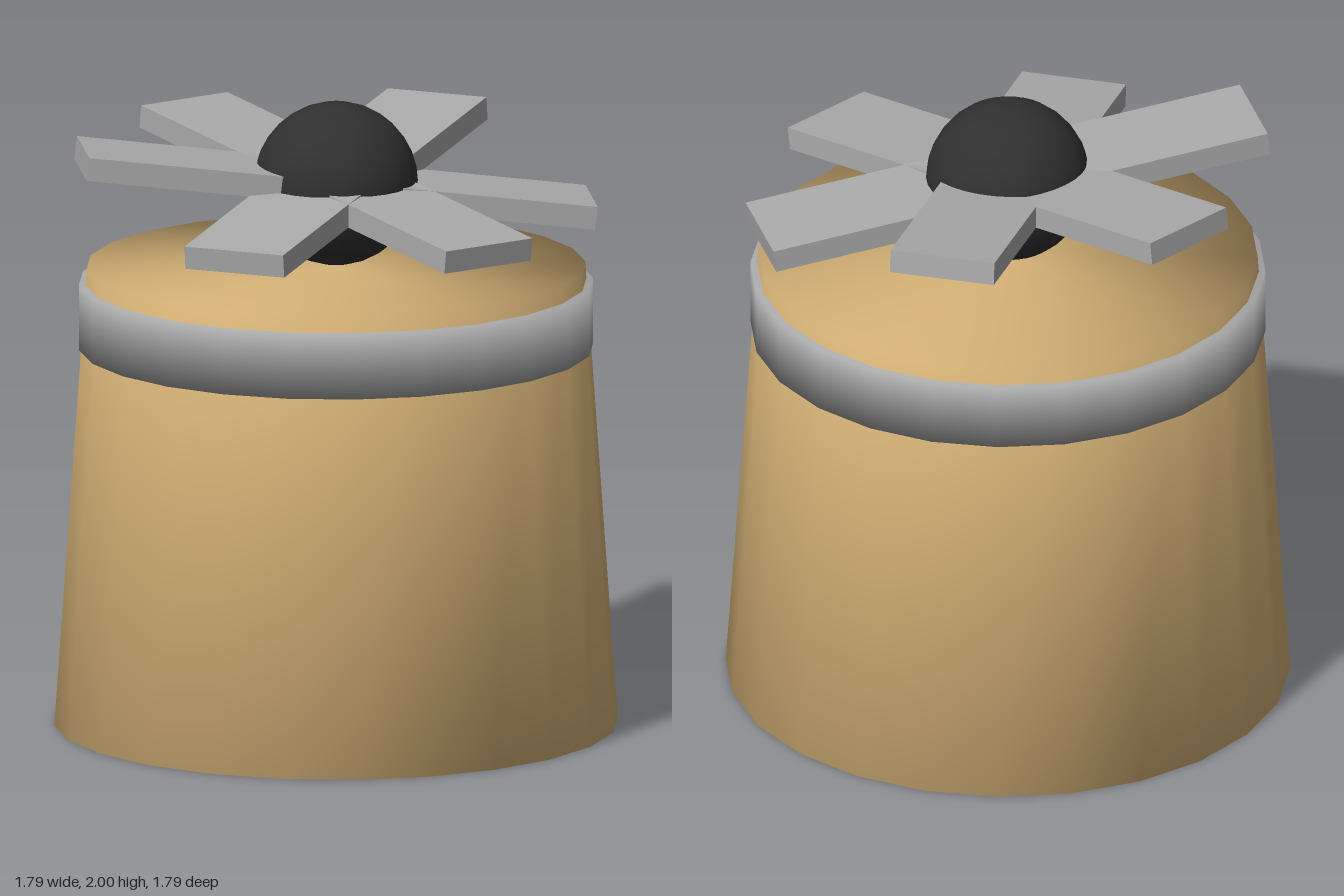
import * as THREE from 'three';
import { mergeVertices } from 'three/addons/utils/BufferGeometryUtils.js';

// Cylinder whose caps share smooth normals with its side
function softCylinder(rTop, rBottom, height) {
  const g = new THREE.CylinderGeometry(rTop, rBottom, height, 24);
  g.deleteAttribute('normal');
  g.deleteAttribute('uv');
  const merged = mergeVertices(g);
  merged.computeVertexNormals();
  return merged;
}

export function createModel() {
  const model = new THREE.Group();
  const tan = new THREE.MeshStandardMaterial({ name: 'tan', color: 0xd8b478 });
  const grey = new THREE.MeshStandardMaterial({ name: 'grey', color: 0xaaaaaa });
  const black = new THREE.MeshStandardMaterial({ name: 'black', color: 0x303030 });

  function add(name, geometry, material, y, parent = model) {
    const mesh = new THREE.Mesh(geometry, material);
    mesh.name = name;
    mesh.position.y = y;
    parent.add(mesh);
    return mesh;
  }

  // Tapered body with a metal band near its top
  add('body', softCylinder(0.79, 0.893, 1.475), tan, 1.475 / 2);
  add('band', softCylinder(0.815, 0.815, 0.21), grey, 1.317);

  // Ball hub
  add('hub', new THREE.SphereGeometry(0.26, 32, 16), black, 1.74);

  // Three crossed bars make six blades, each bar higher at the back
  const fan = new THREE.Group();
  fan.name = 'fan';
  model.add(fan);
  const bladeGeometry = new THREE.BoxGeometry(0.34, 0.074, 1.63);
  for (const degrees of [-47.4, 12.6, 72.6]) {
    const bar = add('bladePair', bladeGeometry, grey, 1.74, fan);
    bar.rotation.set(THREE.MathUtils.degToRad(6.95), -THREE.MathUtils.degToRad(degrees), 0, 'YXZ');
  }

  return model;
}
